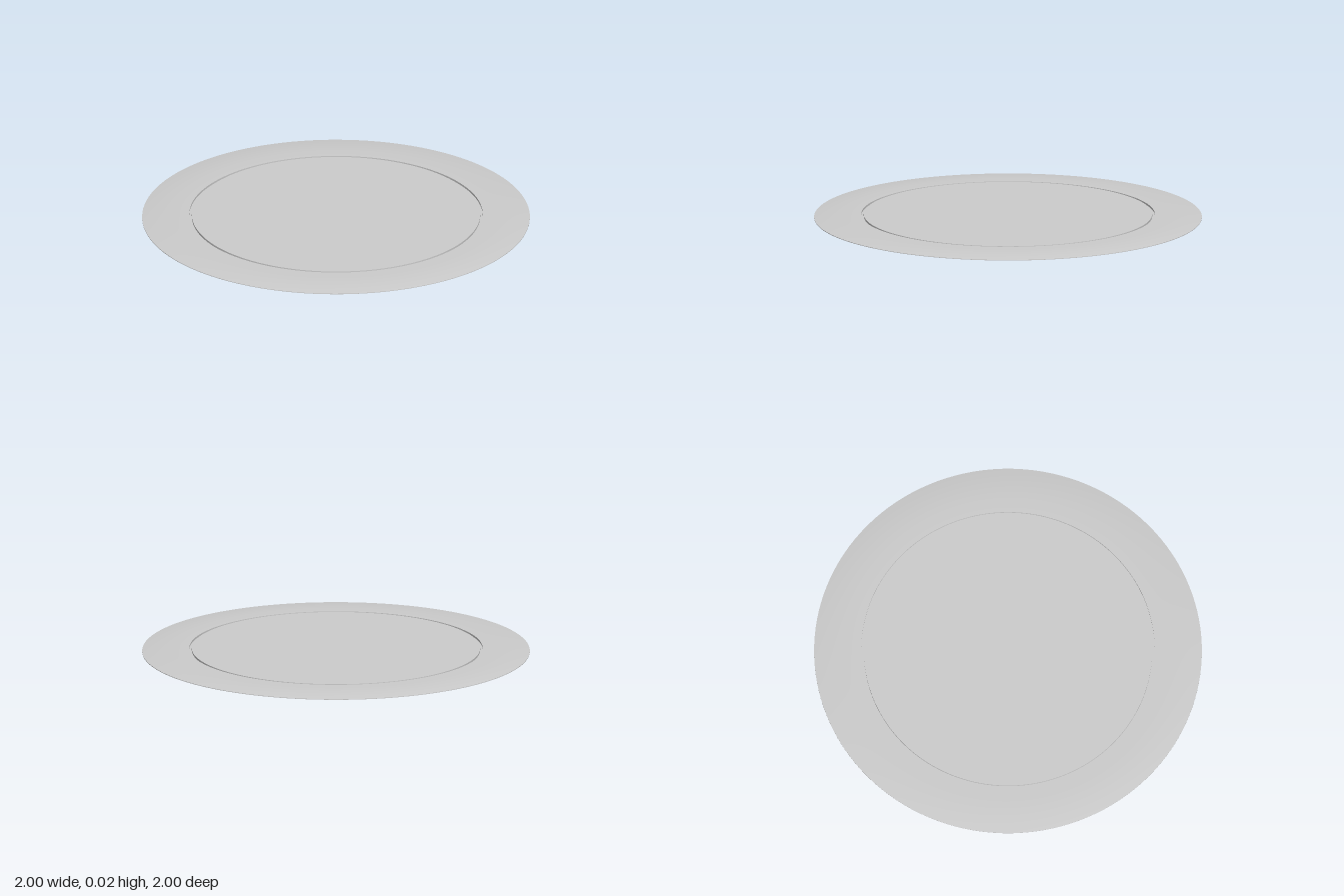
import * as THREE from 'three';
import { toCreasedNormals } from 'three/addons/utils/BufferGeometryUtils.js';

export function createModel() {
  const group = new THREE.Group();
  group.name = 'disc';
  const material = new THREE.MeshStandardMaterial({ color: 0xcccccc, side: THREE.DoubleSide });

  const inner = 0.744, outer = 0.757;
  const base = 0.006, top = 0.023, edge = 0.009;

  // Underside with a narrow raised ring
  const profile = [
    [0, base], [inner, base], [inner, 0], [outer, 0], [outer, base], [1, base],
  ];

  // Gently domed rim, from the thin outer edge up to the flat top
  const steps = 10;
  for (let i = 0; i <= steps; i++) {
    const t = i / steps;
    profile.push([1 - 0.2 * t, edge + (top - edge) * (1 - (1 - t) ** 2)]);
  }

  // Narrow groove around the flat centre
  profile.push([outer, top], [outer, top - 0.01], [inner, top - 0.01], [inner, top], [0, top]);

  const lathe = new THREE.LatheGeometry(profile.map(([x, y]) => new THREE.Vector2(x, y)), 128);
  const plate = new THREE.Mesh(toCreasedNormals(lathe, 0.5), material);
  plate.name = 'plate';
  group.add(plate);
  return group;
}
